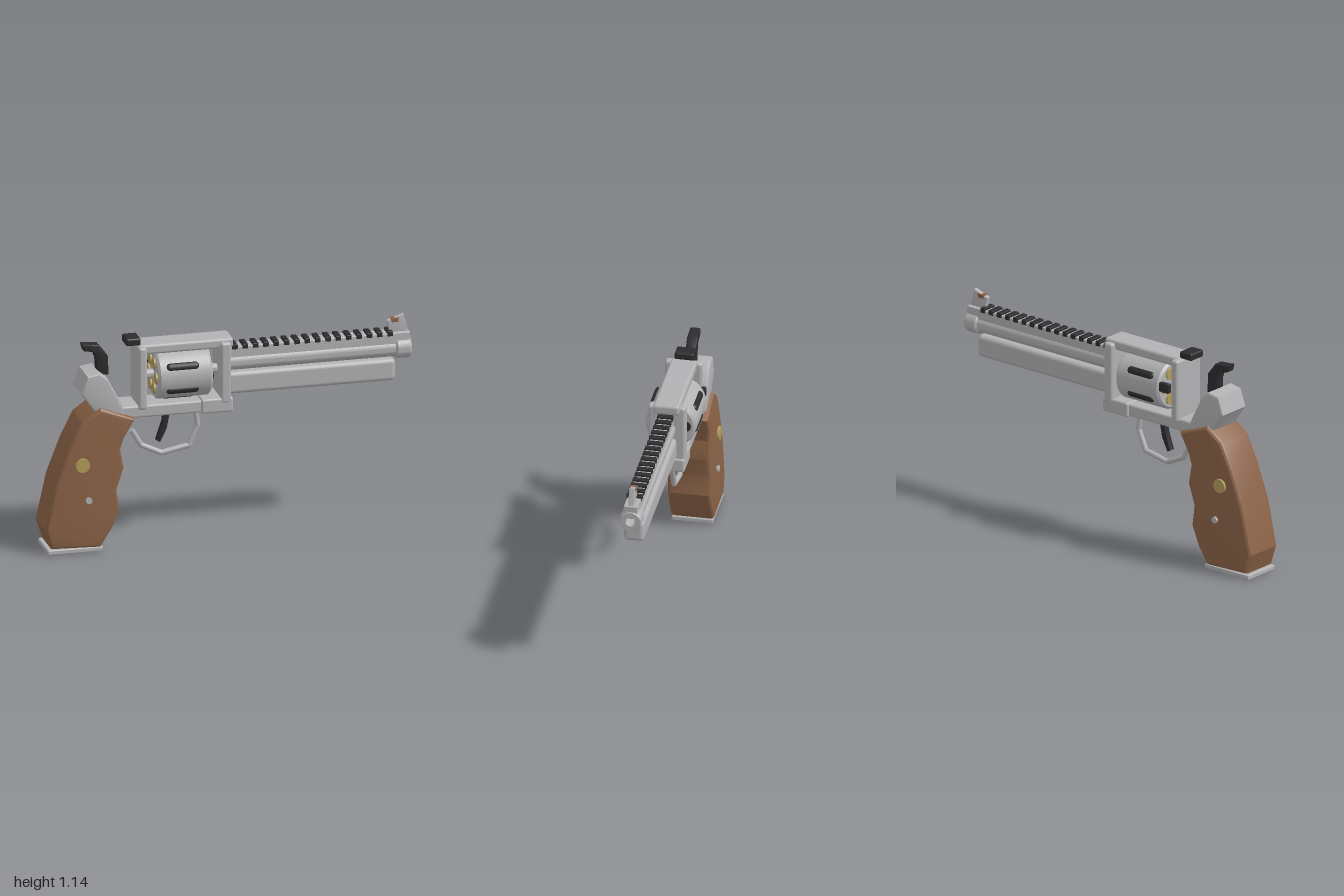
import * as THREE from 'three';
import { toCreasedNormals } from 'three/addons/utils/BufferGeometryUtils.js';
import { RoundedBoxGeometry } from 'three/addons/geometries/RoundedBoxGeometry.js';

const material = (name, color) => {
  const m = new THREE.MeshStandardMaterial({ color });
  m.name = name;
  return m;
};

export function createModel() {
  const model = new THREE.Group();
  model.name = 'revolver';
  const steel = material('steel', 0xb2b2b4);
  const black = material('black', 0x2c2c2e);
  const wood = material('wood', 0x8c6347);
  const brass = material('brass', 0xb39d58);

  const add = (name, geometry, mat, x = 0, y = 0, z = 0, parent = model) => {
    const mesh = new THREE.Mesh(geometry, mat);
    mesh.name = name;
    mesh.position.set(x, y, z);
    parent.add(mesh);
    return mesh;
  };
  // Rounded block given by its x and y limits and half width in z
  const block = (name, mat, x0, x1, y0, y1, halfZ, r = 0.012, z = 0) =>
    add(name, new RoundedBoxGeometry(x1 - x0, y1 - y0, halfZ * 2, 3, r), mat, (x0 + x1) / 2, (y0 + y1) / 2, z);
  // Side outline extruded across z, with rounded edges
  const slab = (name, mat, points, halfZ, bevel) => {
    const shape = new THREE.Shape(points.map(([x, y]) => new THREE.Vector2(x, y)));
    const depth = 2 * (halfZ - bevel);
    const geometry = new THREE.ExtrudeGeometry(shape, {
      depth, bevelEnabled: true, bevelThickness: bevel, bevelSize: bevel, bevelOffset: -bevel, bevelSegments: 3,
    });
    geometry.translate(0, 0, -depth / 2);
    return add(name, toCreasedNormals(geometry, 0.5), mat);
  };
  // Turned part along x, profile as [radius, x]
  const turned = (name, mat, profile, y, segments = 40) => {
    const geometry = new THREE.LatheGeometry(profile.map(([r, x]) => new THREE.Vector2(r, x)), segments);
    geometry.rotateZ(-Math.PI / 2);
    return add(name, toCreasedNormals(geometry, 0.5), mat, 0, y, 0);
  };

  // Barrel with muzzle collar and bore
  turned('barrel', steel, [
    [0, -0.02], [0.048, -0.02], [0.048, 0.915], [0.06, 0.925], [0.06, 0.99], [0.054, 1],
    [0.027, 1], [0.027, 0.9], [0, 0.9],
  ], 0.96);
  block('underlug', steel, 0, 0.912, 0.79, 0.912, 0.055, 0.024);
  block('barrelRib', steel, 0, 0.995, 0.975, 1.05, 0.037, 0.005);
  for (let i = 0; i < 16; i++) {
    const x = 0.045 + i * 0.056;
    block('ribBar', black, x - 0.015, x + 0.015, 1.035, 1.062, 0.042, 0.004);
  }

  // Front and rear sights
  slab('frontSight', steel, [[0.89, 1.04], [0.99, 1.04], [0.965, 1.143], [0.875, 1.113]], 0.014, 0.004);
  slab('frontSightInsert', wood, [[0.9, 1.103], [0.935, 1.103], [0.938, 1.128], [0.895, 1.125]], 0.017, 0.002);
  block('rearSight', black, -0.547, -0.467, 1.105, 1.145, 0.052, 0.01);

  // Frame around the cylinder
  block('topStrap', steel, -0.48, 0.03, 1.056, 1.11, 0.07, 0.015);
  block('rearFramePlate', steel, -0.49, -0.445, 0.76, 1.105, 0.1, 0.015);
  block('frontFramePlate', steel, -0.045, 0.012, 0.76, 1.095, 0.1, 0.015);
  block('lowerFrame', steel, -0.62, 0, 0.715, 0.782, 0.085, 0.012);
  block('lowerFrameFront', steel, -0.15, 0.022, 0.71, 0.79, 0.097, 0.012);
  slab('rearFrameHump', steel, [
    [-0.8, 0.875], [-0.72, 0.76], [-0.57, 0.74], [-0.575, 0.79], [-0.655, 0.945], [-0.7, 0.982], [-0.767, 0.97],
  ], 0.097, 0.012);
  block('cylinderLatch', black, -0.45, -0.385, 0.92, 0.972, 0.014, 0.006, -0.11);

  // Cylinder with flutes, chambers and cartridges
  const cy = 0.927;
  turned('cylinder', steel, [
    [0, -0.39], [0.122, -0.39], [0.135, -0.378], [0.135, -0.108], [0.122, -0.095], [0, -0.095],
  ], cy, 48);
  turned('cylinderAxle', steel, [[0, -0.45], [0.026, -0.45], [0.026, -0.03], [0, -0.03]], cy, 20);
  for (let i = 0; i < 6; i++) {
    const pivot = new THREE.Group();
    pivot.name = 'cylinderStation';
    pivot.position.y = cy;
    pivot.rotation.x = i * Math.PI / 3;
    model.add(pivot);
    const disc = new THREE.CylinderGeometry(0.03, 0.03, 0.012, 20).rotateZ(Math.PI / 2);
    add('chamberMouth', disc, black, -0.094, 0, 0.08, pivot);
    add('cartridgeBase', disc, brass, -0.393, 0, 0.08, pivot);
    const flute = new THREE.CapsuleGeometry(0.02, 0.137, 6, 14).rotateZ(Math.PI / 2).scale(1, 1, 0.7);
    add('flute', flute, black, -0.257, 0.131, 0, pivot).geometry.scale(1, 0.7, 1.43);
  }

  // Hammer and trigger
  slab('hammer', black, [
    [-0.78, 1.127], [-0.77, 1.09], [-0.718, 1.08], [-0.702, 1.035], [-0.7, 0.95],
    [-0.635, 0.95], [-0.64, 1.055], [-0.69, 1.12],
  ], 0.028, 0.006);
  slab('trigger', black, [
    [-0.335, 0.73], [-0.34, 0.66], [-0.375, 0.557], [-0.355, 0.545], [-0.318, 0.62], [-0.297, 0.73],
  ], 0.018, 0.005);

  // Trigger guard of straight rods with rounded joints
  const guard = new THREE.Group();
  guard.name = 'triggerGuard';
  model.add(guard);
  const path = [
    [-0.505, 0.622], [-0.455, 0.535], [-0.345, 0.482], [-0.195, 0.512], [-0.148, 0.62], [-0.162, 0.73],
  ].map(([x, y]) => new THREE.Vector3(x, y, 0));
  path.forEach((p, i) => {
    if (i === path.length - 1) return;
    const q = path[i + 1];
    const rod = add('guardRod', new THREE.CylinderGeometry(0.015, 0.015, p.distanceTo(q), 10), steel,
      (p.x + q.x) / 2, (p.y + q.y) / 2, 0, guard);
    rod.rotation.z = Math.atan2(q.y - p.y, q.x - p.x) - Math.PI / 2;
    if (i > 0) add('guardJoint', new THREE.SphereGeometry(0.015, 10, 8), steel, p.x, p.y, 0, guard);
  });

  // Grip with finger grooves, base plate, medallions and screws
  slab('grip', wood, [
    [-0.7, 0.795], [-0.8, 0.725], [-0.87, 0.585], [-0.945, 0.39], [-1, 0.14], [-0.965, 0.03], [-0.7, 0.022],
    [-0.64, 0.115], [-0.597, 0.22], [-0.612, 0.33], [-0.573, 0.45], [-0.592, 0.555], [-0.57, 0.62], [-0.512, 0.722],
  ], 0.117, 0.024);
  block('gripBasePlate', steel, -0.985, -0.687, 0, 0.026, 0.11, 0.006);
  for (const side of [1, -1]) {
    const stud = (r) => new THREE.CylinderGeometry(r, r, 0.03, 24).rotateX(Math.PI / 2);
    add('gripMedallion', stud(0.038), brass, -0.8, 0.49, side * 0.115);
    add('gripScrew', stud(0.017), steel, -0.767, 0.292, side * 0.115);
  }
  return model;
}
